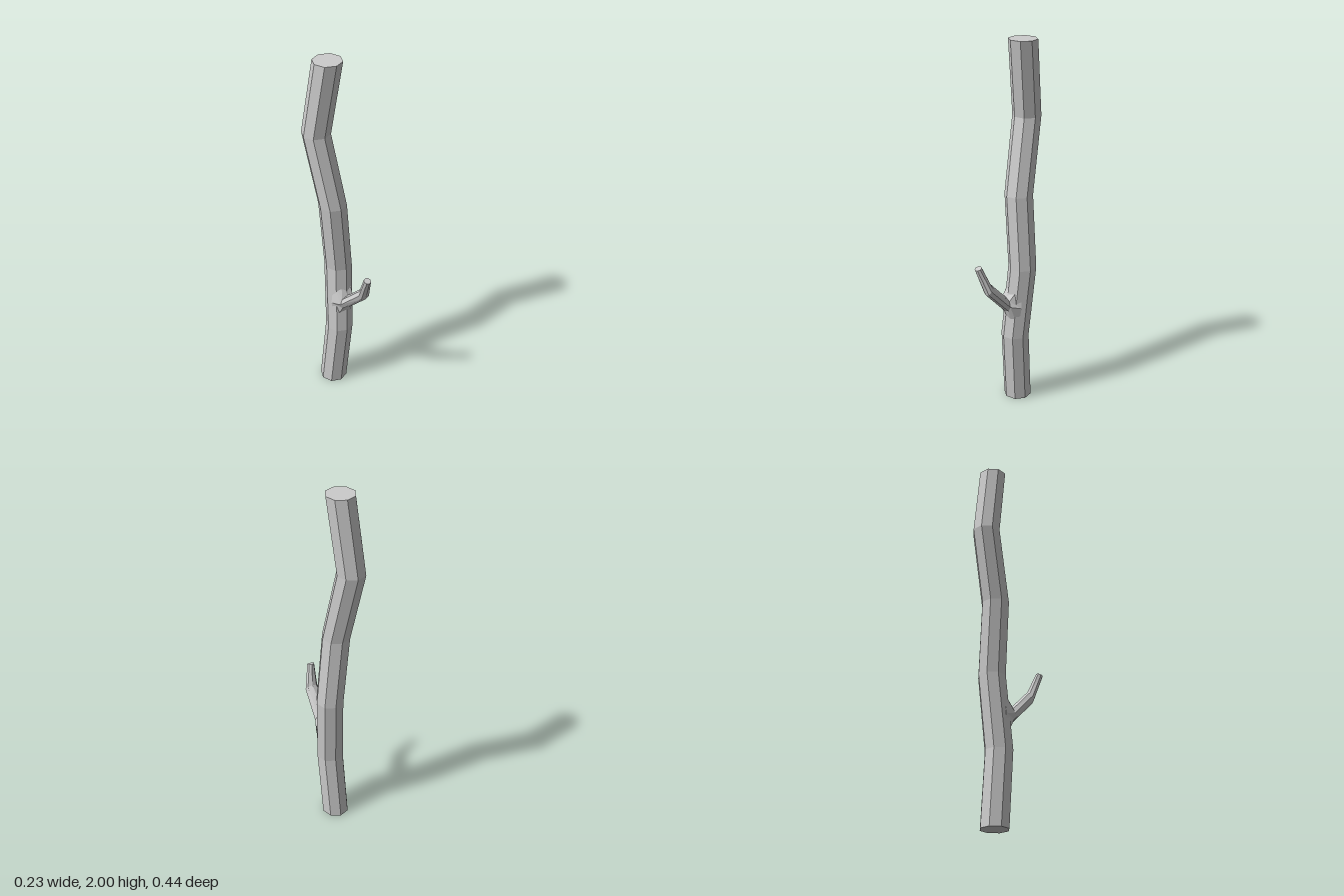
import * as THREE from 'three';

const SIDES = 8;

// Skins a row of eight-sided rings and closes both ends.
// Each ring: centre c, half-axes u and v (u x v points along the limb).
function loft(name, rings, material) {
  const pos = [];
  const index = [];
  for (const { c, u, v } of rings) {
    for (let i = 0; i < SIDES; i++) {
      const a = (i / SIDES) * Math.PI * 2;
      for (let k = 0; k < 3; k++) pos.push(c[k] + Math.cos(a) * u[k] + Math.sin(a) * v[k]);
    }
  }
  for (let r = 0; r < rings.length - 1; r++) {
    for (let i = 0; i < SIDES; i++) {
      const a = r * SIDES + i;
      const b = r * SIDES + ((i + 1) % SIDES);
      index.push(a, b, b + SIDES, a, b + SIDES, a + SIDES);
    }
  }
  const last = (rings.length - 1) * SIDES;
  for (let i = 1; i < SIDES - 1; i++) {
    index.push(0, i + 1, i);
    index.push(last, last + i, last + i + 1);
  }
  const indexed = new THREE.BufferGeometry();
  indexed.setAttribute('position', new THREE.Float32BufferAttribute(pos, 3));
  indexed.setIndex(index);
  const geometry = indexed.toNonIndexed();
  geometry.computeVertexNormals();
  const mesh = new THREE.Mesh(geometry, material);
  mesh.name = name;
  return mesh;
}

export function createModel() {
  const group = new THREE.Group();
  group.name = 'branchedStick';
  const bark = new THREE.MeshStandardMaterial({ color: 0xcccccc, flatShading: true });

  // Crooked stem: level rings of constant radius
  const R = 0.075;
  const stem = [
    [0.003, 0, -0.068],
    [0.022, 0.4, -0.037],
    [0.038, 0.8, -0.071],
    [0.003, 1.2, -0.07],
    [-0.04, 1.6, -0.147],
    [-0.004, 2, -0.096],
  ];
  group.add(loft('stem', stem.map((c) => ({ c, u: [R, 0, 0], v: [0, 0, -R] })), bark));

  // Side twig: flared root inside the stem, an elbow, then a blunt tip
  const twig = [
    { c: [0.03, 0.585, -0.025], u: [0.07, 0, 0], v: [0, 0.17, -0.01] },
    { c: [0.029, 0.6, 0.032], u: [0.05, 0, 0], v: [0, 0.04, -0.004] },
    { c: [0.047, 0.727, 0.152], u: [0.035, 0, 0], v: [0, 0.029, -0.014] },
    { c: [0.03, 0.854, 0.2], u: [0.02, 0, 0], v: [0, 0.007, -0.018] },
  ];
  group.add(loft('twig', twig, bark));

  return group;
}
